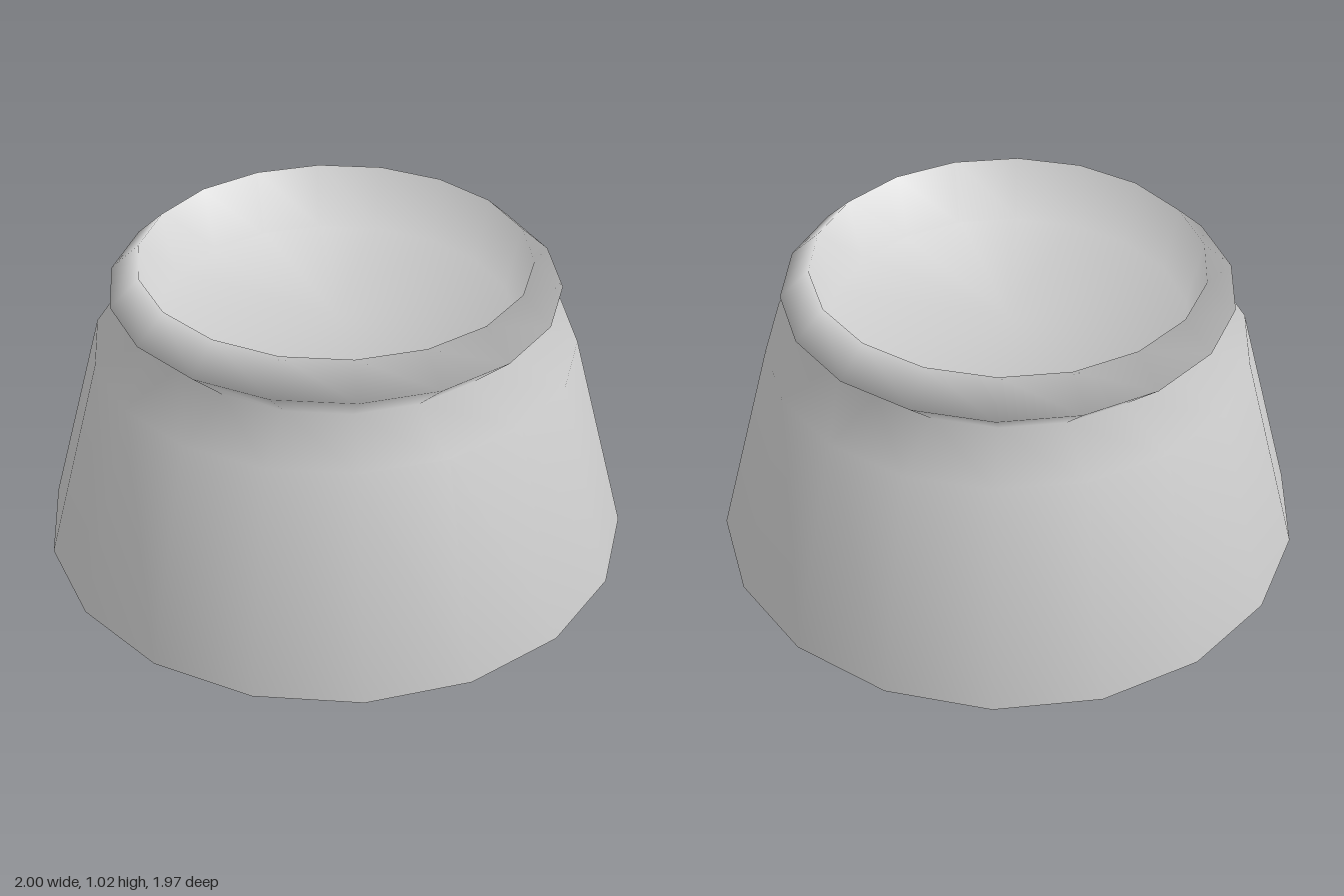
import * as THREE from 'three';
import { mergeVertices } from 'three/addons/utils/BufferGeometryUtils.js';

const SIDES = 18;

export function createModel() {
  const group = new THREE.Group();
  const material = new THREE.MeshStandardMaterial({ color: 0xcccccc, side: THREE.DoubleSide });

  // Pot wall: flared body, pinched neck, angular lip, then the shallow dish inside
  const profile = [
    [1.0, 0], [0.8, 0.725], [0.6, 0.8], [0.737, 0.93], [0.64, 1.02],
    [0.595, 0.8], [0, 0.79],
  ].map(([r, y]) => new THREE.Vector2(r, y));
  let wall = new THREE.LatheGeometry(profile, SIDES, Math.PI / 2);

  // Weld the seam and smooth the shading over lip and dish
  wall.deleteAttribute('normal');
  wall.deleteAttribute('uv');
  wall = mergeVertices(wall);
  wall.computeVertexNormals();
  const pot = new THREE.Mesh(wall, material);
  pot.name = 'potWall';
  group.add(pot);

  // Flat underside
  const base = new THREE.Mesh(new THREE.CircleGeometry(1, SIDES), material);
  base.rotation.x = Math.PI / 2;
  base.name = 'underside';
  group.add(base);

  return group;
}
